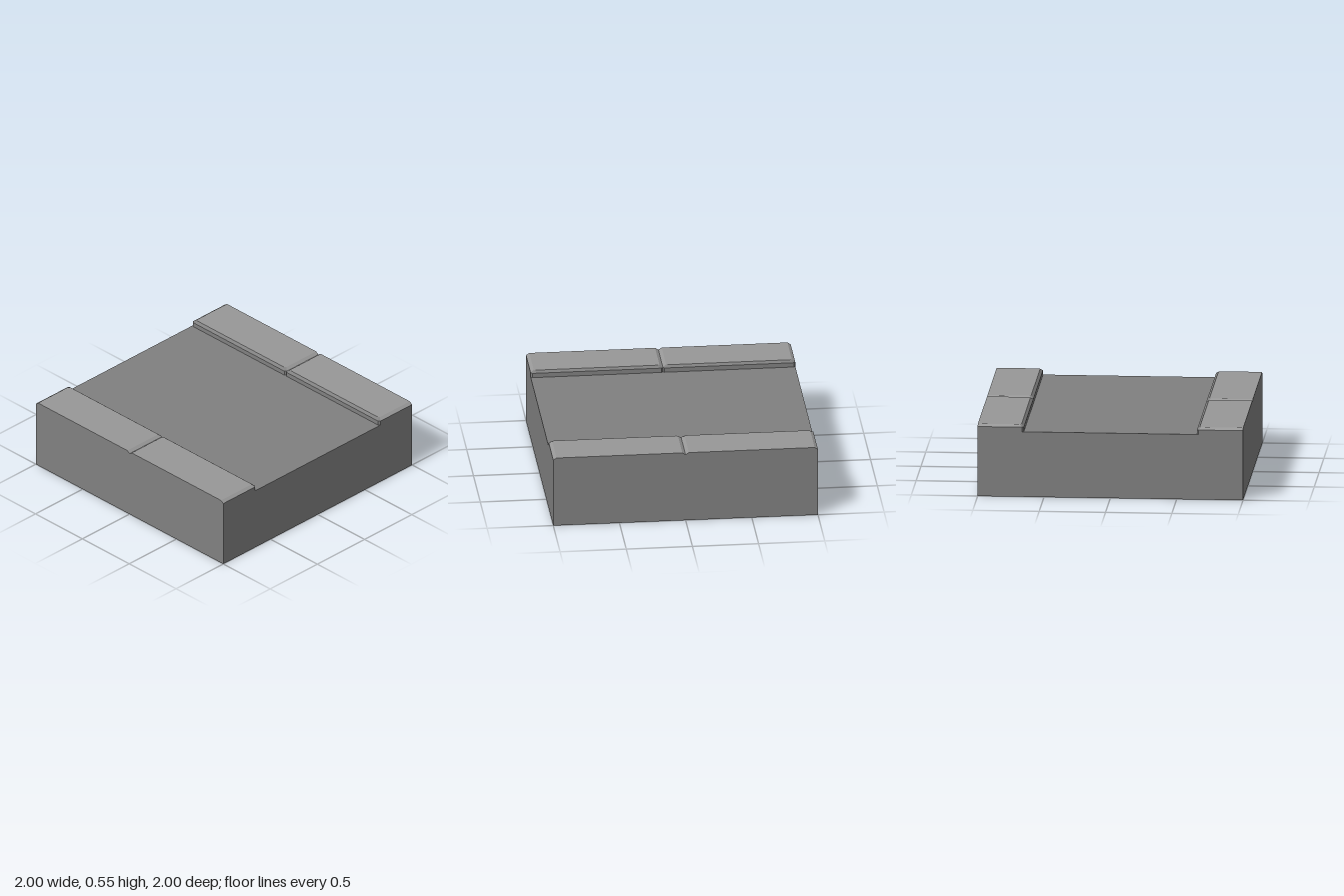
import * as THREE from 'three';

const roadGrey = new THREE.MeshStandardMaterial({ color: 0x808080 });
const pavingGrey = new THREE.MeshStandardMaterial({ color: 0x989898 });

// Plan outline of a paving slab: outer corner, inner side with clipped corners, outer corner
function outline(side, z0, z1, y, insetX, insetZ) {
  const inner = 0.652 + insetX, cut = 0.012;
  const a = z0 + insetZ, b = z1 - insetZ;
  return [[1, b], [inner + cut, b], [inner, b - cut], [inner, a + cut], [inner + cut, a], [1, a]]
    .map(([x, z]) => new THREE.Vector3(side * x, y, z));
}

function facesMesh(name, triangles, material, side) {
  const points = triangles.flatMap(([a, b, c]) => (side > 0 ? [a, b, c] : [a, c, b]));
  const geometry = new THREE.BufferGeometry().setFromPoints(points);
  geometry.computeVertexNormals();
  const mesh = new THREE.Mesh(geometry, material);
  mesh.name = name;
  return mesh;
}

// One raised slab, bevelled on its inner edge and both ends
function pavingSlab(side, z0, z1) {
  const base = outline(side, z0, z1, 0.5, 0, 0);
  const shoulder = outline(side, z0, z1, 0.535, 0, 0);
  const top = outline(side, z0, z1, 0.552, 0.02, 0.025);
  const walls = [], paving = [];
  const quad = (list, lower, upper, i) => {
    const j = (i + 1) % lower.length;
    list.push([lower[i], upper[i], upper[j]], [lower[i], upper[j], lower[j]]);
  };
  for (let i = 0; i < base.length; i++) {
    quad(walls, base, shoulder, i);
    // End bevels share the paving tone, the kerb and outer side are darker
    quad(i === 0 || i === 4 ? paving : walls, shoulder, top, i);
  }
  for (let i = 1; i < top.length - 1; i++) paving.push([top[0], top[i + 1], top[i]]);

  const slab = new THREE.Group();
  slab.name = side > 0 ? 'leftPavingSlab' : 'rightPavingSlab';
  slab.add(facesMesh('kerbWalls', walls, roadGrey, side));
  slab.add(facesMesh('pavingTop', paving, pavingGrey, side));
  return slab;
}

export function createModel() {
  const model = new THREE.Group();
  model.name = 'roadTile';

  // Solid road block
  const road = new THREE.Mesh(new THREE.BoxGeometry(2, 0.5, 2), roadGrey);
  road.position.y = 0.25;
  road.name = 'roadBlock';
  model.add(road);

  // Two slabs along each side, with a shallow groove where they meet
  for (const side of [-1, 1]) {
    for (const z of [-1, 0]) model.add(pavingSlab(side, z, z + 1));
  }
  return model;
}
